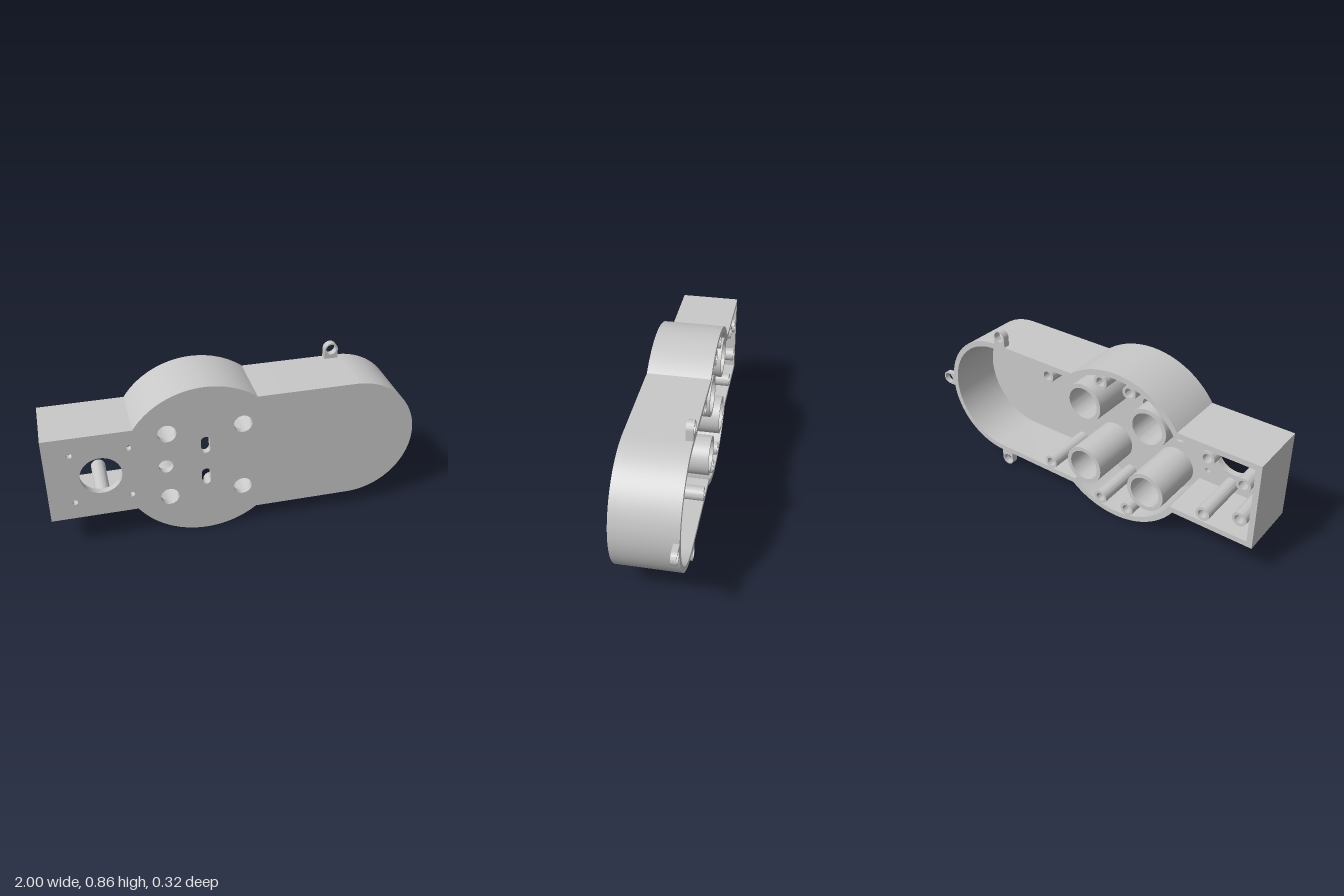
import * as THREE from 'three';
import { toCreasedNormals } from 'three/addons/utils/BufferGeometryUtils.js';

const BACK = -0.162, FRONT = 0.162, FLOOR = 0.127, CY = 0.435;

// Housing outline: square arm, round hub and round-ended body, inset by t
function outline(t, PathType) {
  const r = 0.432 - t, arm = 0.24 - t, body = 0.34 - t, hubX = -0.2;
  const a = Math.asin(arm / r), b = Math.asin(body / r);
  const p = new PathType();
  p.absarc(hubX, CY, r, Math.PI + a, 2 * Math.PI - b, false);
  p.absarc(0.583, CY, body, -Math.PI / 2, Math.PI / 2, false);
  p.absarc(hubX, CY, r, b, Math.PI - a, false);
  p.lineTo(-1 + t, CY + arm);
  p.lineTo(-1 + t, CY - arm);
  p.closePath();
  return p;
}

function circle(x, y, r, PathType = THREE.Path) {
  const p = new PathType();
  p.absarc(x, y, r, 0, Math.PI * 2, false);
  return p;
}

// Upright slot with rounded ends
function slot(x, y, halfLength, r) {
  const p = new THREE.Path();
  p.absarc(x, y + halfLength - r, r, 0, Math.PI, false);
  p.absarc(x, y - halfLength + r, r, Math.PI, 2 * Math.PI, false);
  p.closePath();
  return p;
}

export function createModel() {
  const model = new THREE.Group();
  model.name = 'gearHousing';
  const grey = new THREE.MeshStandardMaterial({ color: 0xc8c8c8 });
  grey.name = 'grey';

  function extrude(name, shape, z0, z1) {
    const geo = new THREE.ExtrudeGeometry(shape, { depth: z1 - z0, bevelEnabled: false, curveSegments: 32 });
    geo.translate(0, 0, z0);
    const mesh = new THREE.Mesh(toCreasedNormals(geo, 0.5), grey);
    mesh.name = name;
    model.add(mesh);
  }

  function ring(name, x, y, outer, inner) {
    const s = circle(x, y, outer, THREE.Shape);
    s.holes.push(circle(x, y, inner));
    extrude(name, s, BACK, FLOOR);
  }

  // Front plate with its openings
  const plate = outline(0, THREE.Shape);
  plate.holes.push(circle(-0.73, CY, 0.105), circle(-0.405, CY, 0.037));
  for (const s of [-1, 1]) {
    plate.holes.push(slot(-0.2, CY + s * 0.097, 0.048, 0.023));
    for (const x of [-0.872, -0.585]) plate.holes.push(circle(x, CY + s * 0.142, 0.014));
    for (const x of [-0.393, -0.007]) plate.holes.push(circle(x, CY + s * 0.193, 0.048));
  }
  extrude('frontPlate', plate, FLOOR, FRONT);

  // Side wall, open at the back
  const wall = outline(0, THREE.Shape);
  wall.holes.push(outline(0.03, THREE.Path));
  extrude('sideWall', wall, BACK, FLOOR);

  // Bearing tubes and screw posts, mirrored top and bottom
  const posts = [[0.22, 0.272], [-0.115, 0.355], [-0.285, 0.355], [-0.727, 0.165], [-0.92, 0.1]];
  for (const s of [-1, 1]) {
    for (const x of [-0.393, -0.007]) ring('bearingTube', x, CY + s * 0.193, 0.108, 0.085);
    for (const [x, dy] of posts) ring('screwPost', x, CY + s * dy, 0.038, 0.024);
  }

  // Mounting ears: a rounded tab running from the ring back to the wall
  function ear(x, y, angle, length, thickness) {
    const r = 0.036, c = Math.cos(angle), n = Math.sin(angle);
    const s = new THREE.Shape();
    s.absarc(x, y, r, angle - Math.PI / 2, angle + Math.PI / 2, false);
    for (const v of [r, -r]) s.lineTo(x - length * c - v * n, y - length * n + v * c);
    s.closePath();
    s.holes.push(circle(x, y, 0.028));
    extrude('mountingEar', s, BACK, BACK + thickness);
  }
  ear(0.545, CY + 0.39, Math.PI / 2, 0.06, 0.036);
  ear(0.545, CY - 0.39, -Math.PI / 2, 0.06, 0.036);
  ear(0.964, CY, 0, 0.06, 0.028);

  return model;
}
